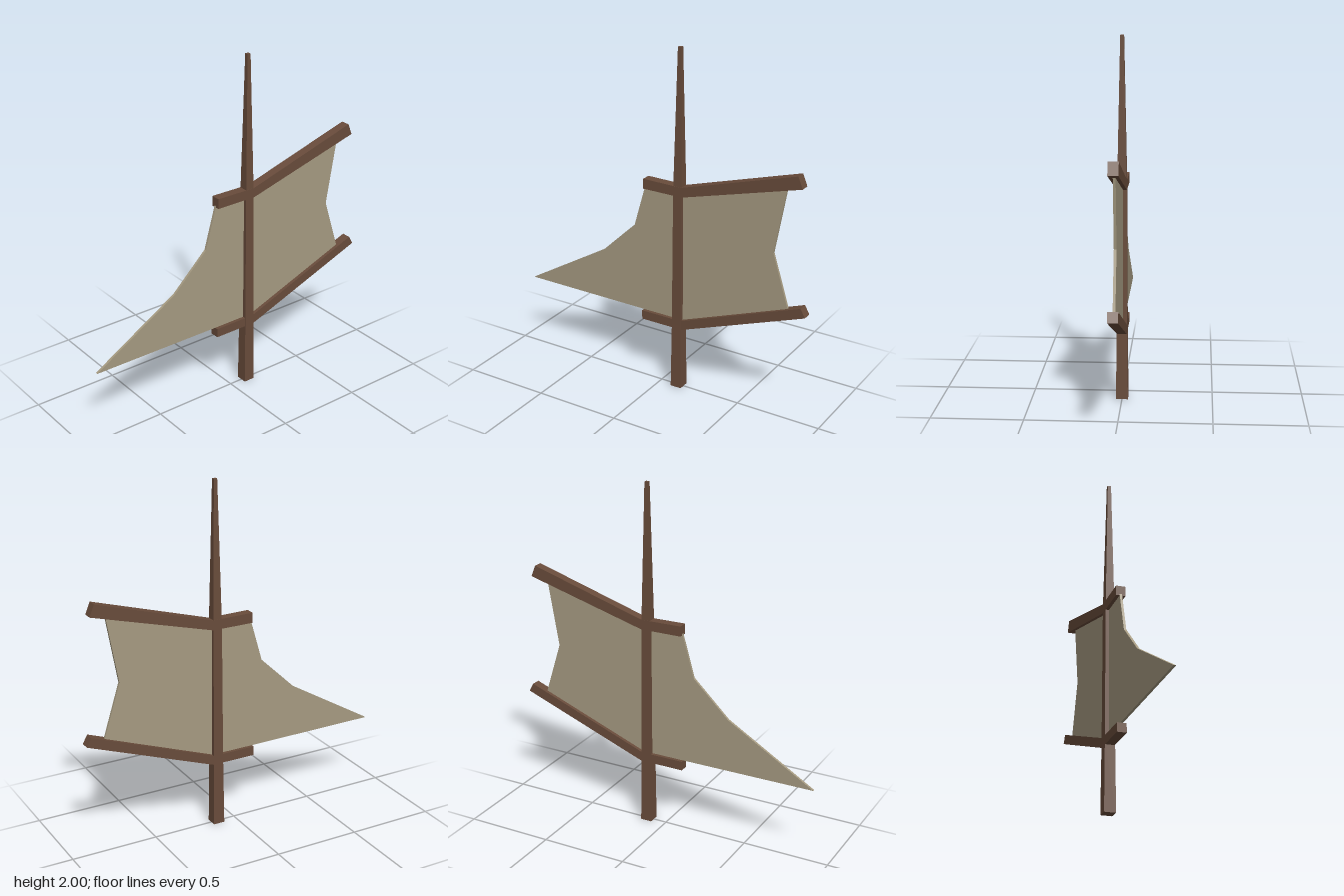
import * as THREE from 'three';

const wood = new THREE.MeshStandardMaterial({ color: 0x694c3b, flatShading: true });
const cloth = new THREE.MeshStandardMaterial({ color: 0xa69b82, flatShading: true });

// Side outline given as [z, y] points, extruded across x and centred on x = 0
function sidePlate(name, points, width, material) {
  const shape = new THREE.Shape(points.map(([z, y]) => new THREE.Vector2(-z, y)));
  const geometry = new THREE.ExtrudeGeometry(shape, { depth: width, bevelEnabled: false });
  geometry.translate(0, 0, -width / 2);
  geometry.rotateY(Math.PI / 2);
  const mesh = new THREE.Mesh(geometry, material);
  mesh.name = name;
  return mesh;
}

export function createModel() {
  const model = new THREE.Group();
  model.name = 'mastWithSail';

  // Square mast: [half width, height], tapering to the tip
  const profile = [[0, 0], [0.033, 0], [0.029, 0.4], [0.026, 1.2], [0.01, 2], [0, 2]]
    .map(([r, y]) => new THREE.Vector2(r * Math.SQRT2, y));
  const mast = new THREE.Mesh(new THREE.LatheGeometry(profile, 4, Math.PI / 4), wood);
  mast.name = 'mast';
  mast.position.z = -0.113;
  model.add(mast);

  // Bent yards: level in front of the mast, rising behind it
  model.add(sidePlate('upperYard', [
    [0.104, 1.177], [0.104, 1.235], [-0.138, 1.232],
    [-0.826, 1.438], [-0.853, 1.372], [-0.14, 1.176],
  ], 0.054, wood));
  model.add(sidePlate('lowerYard', [
    [0.116, 0.375], [0.116, 0.428], [-0.138, 0.428],
    [-0.873, 0.705], [-0.9, 0.656], [-0.146, 0.375],
  ], 0.054, wood));

  // Thin sail stretched between the yards, running to a point in front
  model.add(sidePlate('sail', [
    [0.9, 0.432], [0.388, 0.736], [0.175, 0.94], [0.103, 1.19], [-0.138, 1.19],
    [-0.758, 1.352], [-0.692, 0.975], [-0.79, 0.665], [-0.138, 0.42], [0.1, 0.428],
  ], 0.014, cloth));

  return model;
}
